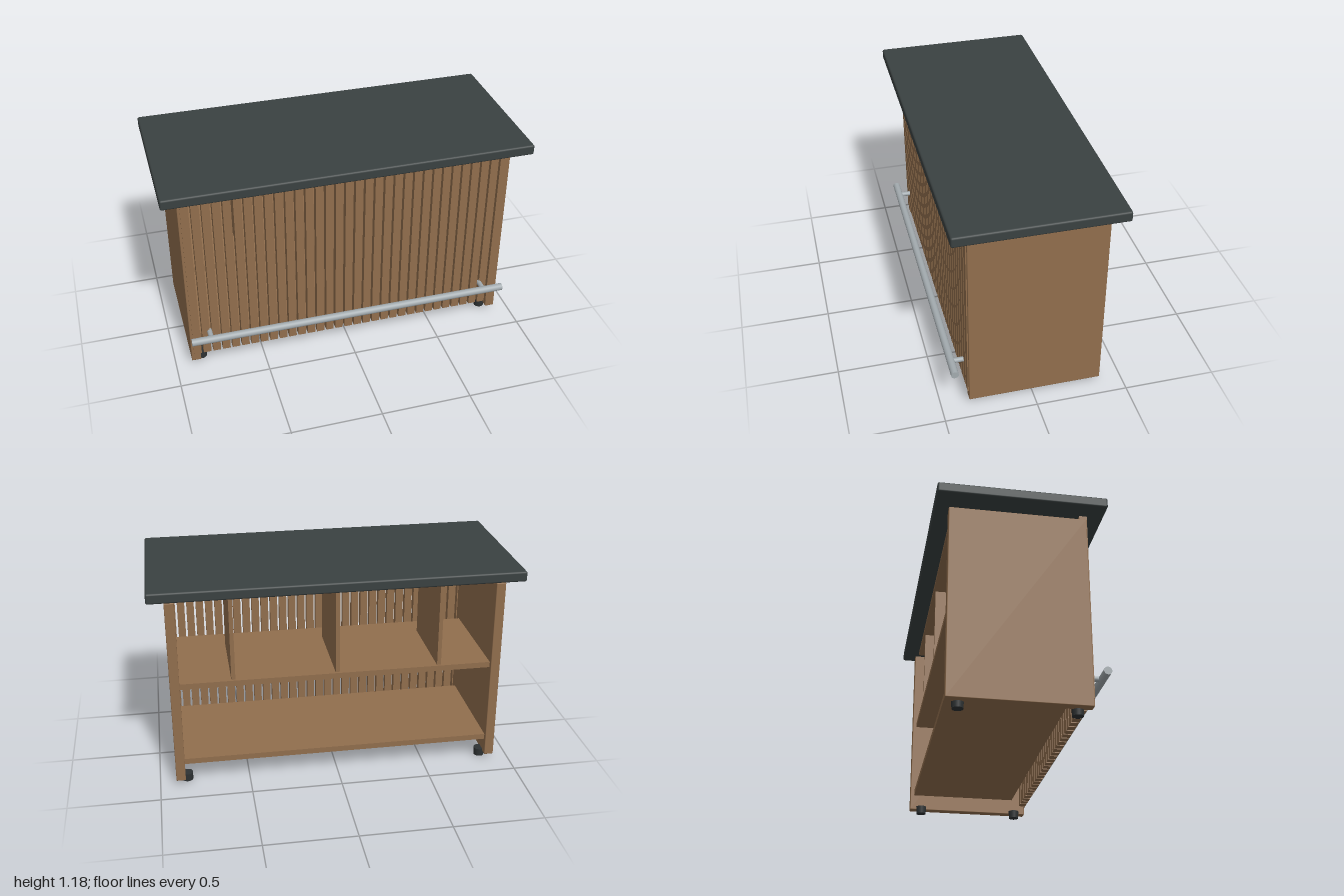
import * as THREE from 'three';
import { RoundedBoxGeometry } from 'three/addons/geometries/RoundedBoxGeometry.js';

const material = (name, color) => Object.assign(new THREE.MeshStandardMaterial({ color }), { name });

export function createModel() {
  const group = new THREE.Group();
  group.name = 'barCounter';
  const wood = material('wood', 0x916e4d);
  const stone = material('darkStone', 0x3a4141);
  const steel = material('steel', 0xa3abaf);
  const rubber = material('blackRubber', 0x2e3233);

  const add = (name, geometry, mat, x = 0, y = 0, z = 0) => {
    const mesh = new THREE.Mesh(geometry, mat);
    mesh.name = name;
    mesh.position.set(x, y, z);
    group.add(mesh);
    return mesh;
  };

  // Box given by its limits, with optionally softened edges
  const box = (name, mat, [x0, x1], [y0, y1], [z0, z1], radius = 0) => {
    const size = [x1 - x0, y1 - y0, z1 - z0];
    const geometry = radius
      ? new RoundedBoxGeometry(...size, 2, radius)
      : new THREE.BoxGeometry(...size);
    return add(name, geometry, mat, (x0 + x1) / 2, (y0 + y1) / 2, (z0 + z1) / 2);
  };

  // Worktop
  box('countertop', stone, [-1, 1], [1.123, 1.18], [-0.445, 0.445], 0.01);

  // Boards under the worktop and shelves, open towards the back
  box('topBoard', wood, [-0.86, 0.86], [1.105, 1.123], [-0.352, 0.27]);
  box('upperShelf', wood, [-0.86, 0.86], [0.585, 0.617], [-0.352, 0.27]);
  box('lowerShelf', wood, [-0.86, 0.86], [0.123, 0.155], [-0.352, 0.27]);

  // Dividers between the upper shelf and the top board
  for (const x of [-0.57, 0, 0.57]) {
    box('divider', wood, [x - 0.011, x + 0.011], [0.617, 1.105], [-0.34, 0.13]);
  }

  // Vertical front slats with open gaps
  const slats = 33, pitch = 0.0547;
  for (let i = 0; i < slats; i++) {
    const x = (i - (slats - 1) / 2) * pitch;
    box('frontSlat', wood, [x - 0.0215, x + 0.0215], [0.083, 1.123], [0.315, 0.356]);
  }

  for (const side of [-1, 1]) {
    // Side panels
    const x = side * 0.885;
    box('sidePanel', wood, [x - 0.026, x + 0.026], [0.032, 1.095], [-0.375, 0.35], 0.004);

    // Feet
    for (const z of [0.28, -0.307]) {
      add('foot', new THREE.CylinderGeometry(0.031, 0.029, 0.045, 24), rubber, side * 0.847, 0.0225, z);
    }

    // Foot rail brackets
    add('railBracket', new THREE.CylinderGeometry(0.014, 0.014, 0.08, 20), steel, side * 0.8, 0.228, 0.385)
      .rotation.x = Math.PI / 2;
  }

  // Foot rail
  add('footRail', new THREE.CylinderGeometry(0.021, 0.021, 1.82, 28), steel, 0, 0.228, 0.424)
    .rotation.z = Math.PI / 2;

  return group;
}
